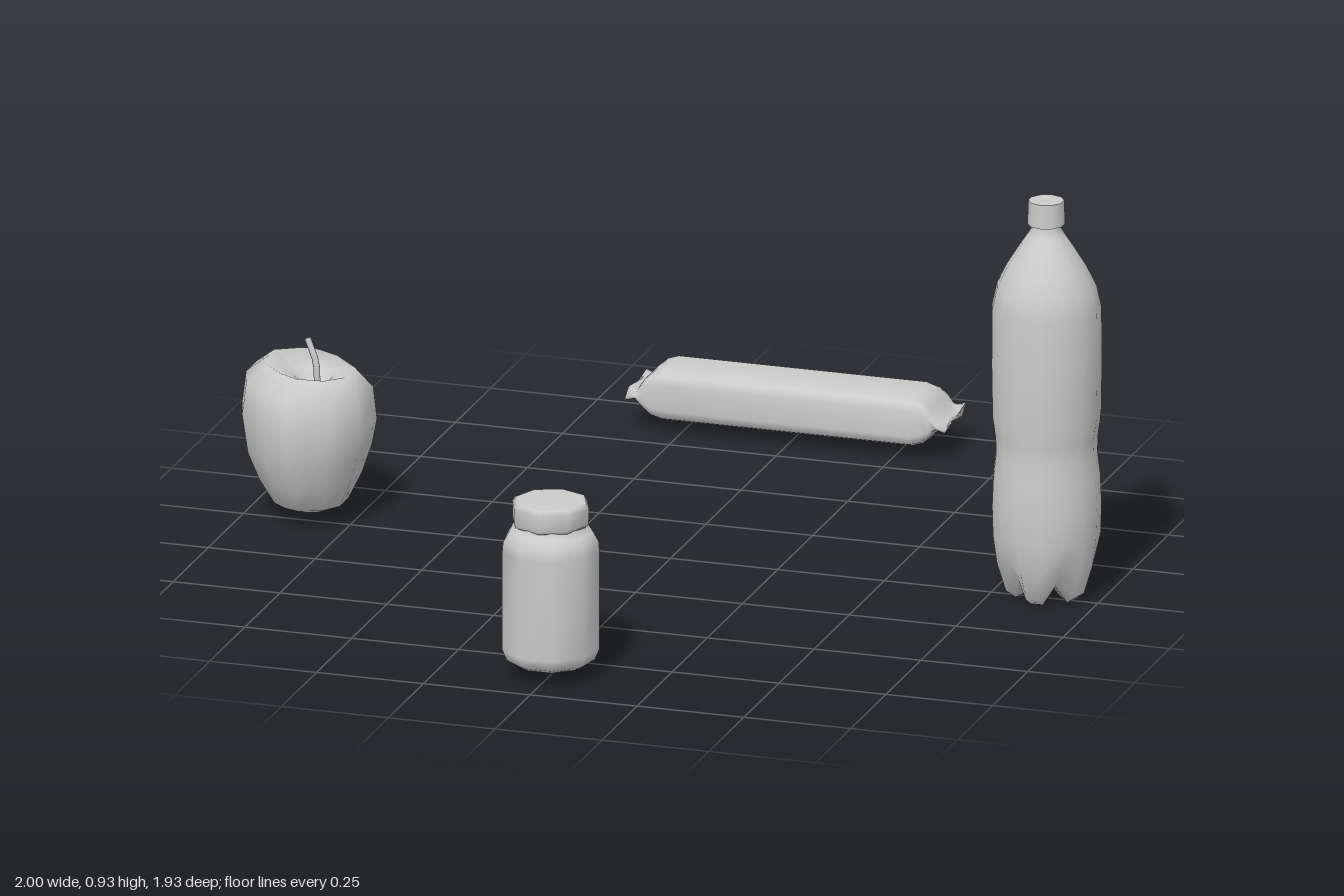
import * as THREE from 'three';

const material = new THREE.MeshStandardMaterial({ color: 0xcccccc, side: THREE.DoubleSide });

function addMesh(parent, name, geometry) {
  const mesh = new THREE.Mesh(geometry, material);
  mesh.name = name;
  parent.add(mesh);
  return mesh;
}

function addGroup(parent, name, x, z) {
  const group = new THREE.Group();
  group.name = name;
  group.position.set(x, 0, z);
  parent.add(group);
  return group;
}

// Smooth skin over rings of [x, y, z] points, each ring running from +z to +x
function loft(rings) {
  const n = rings[0].length, index = [];
  for (let i = 0; i < rings.length - 1; i++) {
    for (let j = 0; j < n; j++) {
      const a = i * n + j, b = i * n + (j + 1) % n;
      index.push(a, b, b + n, a, b + n, a + n);
    }
  }
  const geometry = new THREE.BufferGeometry();
  geometry.setAttribute('position', new THREE.Float32BufferAttribute(rings.flat(2), 3));
  geometry.setIndex(index);
  geometry.computeVertexNormals();
  return geometry;
}

// Round ring; the shift function may alter radius and height per point
function ring(n, r, y, shift = () => [0, 0]) {
  return Array.from({ length: n }, (_, j) => {
    const a = (j / n) * Math.PI * 2 + Math.PI;
    const [dr, dy] = shift(j);
    return [Math.sin(a) * (r + dr), y + dy, Math.cos(a) * (r + dr)];
  });
}

const lathe = (points, n) => loft(points.map(([r, y]) => ring(n, r, y)));

function buildBottle(root) {
  const bottle = addGroup(root, 'bottle', 0.873, -0.018);
  // Five feet separated by grooves: every third point is pulled in and up
  const groove = (dr, dy) => (j) => (j % 3 === 0 ? [dr, dy] : [0, 0]);
  const base = [
    ring(15, 0, 0.04),
    ring(15, 0.035, 0.018, groove(0, 0.025)),
    ring(15, 0.07, 0.003, groove(-0.005, 0.04)),
    ring(15, 0.092, 0.02, groove(-0.015, 0.035)),
    ring(15, 0.112, 0.085, groove(-0.006, 0.015)),
  ];
  const wall = [
    [0.121, 0.15], [0.123, 0.22], [0.12, 0.29], [0.114, 0.34], [0.115, 0.38], [0.122, 0.43],
    [0.124, 0.55], [0.123, 0.68], [0.112, 0.73], [0.09, 0.775], [0.062, 0.82], [0.042, 0.85],
    [0.033, 0.865], [0.033, 0.885],
  ].map(([r, y]) => ring(15, r, y));
  addMesh(bottle, 'bottleBody', loft([...base, ...wall]));
  const cap = addMesh(bottle, 'bottleCap', new THREE.CylinderGeometry(0.04, 0.042, 0.055, 10));
  cap.position.y = 0.902;
}

function buildJar(root) {
  const jar = addGroup(root, 'jar', 0, 0.855);
  addMesh(jar, 'jarBody', lathe([
    [0, 0.036], [0.08, 0.034], [0.1, 0.045], [0.11, 0.07], [0.11, 0.3],
    [0.108, 0.322], [0.095, 0.345], [0.08, 0.35], [0.078, 0.365],
  ], 9));
  addMesh(jar, 'jarLid', lathe([
    [0, 0.358], [0.08, 0.357], [0.089, 0.365], [0.09, 0.402], [0.084, 0.413], [0.078, 0.415], [0, 0.415],
  ], 8));
}

function buildApple(root) {
  const apple = addGroup(root, 'apple', -0.85, 0);
  // Uneven outline [x, z] around the widest part
  const outline = [
    [0, 0.157], [0.09, 0.12], [0.14, 0.045], [0.14, -0.07], [0.05, -0.145], [-0.045, -0.167],
    [-0.09, -0.13], [-0.15, -0.07], [-0.15, 0.01], [-0.125, 0.085], [-0.065, 0.135],
  ];
  // [scale, height] from the underside up and into the stem hollow
  const profile = [
    [0, 0.045], [0.3, 0.037], [0.55, 0.052], [0.76, 0.11], [0.92, 0.175], [1, 0.25],
    [0.94, 0.325], [0.65, 0.368], [0.3, 0.345], [0.08, 0.32], [0, 0.315],
  ];
  addMesh(apple, 'appleFlesh', loft(profile.map(([s, y]) => outline.map(([x, z]) => {
    const tilt = y > 0.2 ? -0.12 * x * s : 0;
    return [x * s + 0.015 * (1 - s), y + tilt, z * s];
  }))));
  const stemPath = new THREE.CatmullRomCurve3([
    new THREE.Vector3(0.025, 0.315, 0.005),
    new THREE.Vector3(0.022, 0.375, 0.003),
    new THREE.Vector3(-0.002, 0.428, -0.008),
  ]);
  addMesh(apple, 'appleStem', new THREE.TubeGeometry(stemPath, 5, 0.008, 5));
}

function buildWrappedBar(root) {
  const bar = addGroup(root, 'wrappedBar', 0, -0.888);
  // Rounded rectangle section [across, up], clockwise from the top
  const section = [
    [0, 1], [0.65, 1], [0.9, 0.85], [1, 0.5], [1, -0.5], [0.9, -0.85], [0.65, -1],
    [0, -1], [-0.65, -1], [-0.9, -0.85], [-1, -0.5], [-1, 0.5], [-0.9, 0.85], [-0.65, 1],
  ];
  // [x, half width, half height, crimp wave] from the middle to the crimped end
  const half = [
    [0.29, 0.081, 0.058, 0], [0.315, 0.08, 0.05, 0], [0.335, 0.077, 0.033, 0],
    [0.352, 0.072, 0.006, 0.006], [0.374, 0.076, 0.005, 0.013], [0.374, 0, 0, 0],
  ];
  const stations = [...half.map(([x, ...rest]) => [-x, ...rest]).reverse(), ...half];
  addMesh(bar, 'wrapper', loft(stations.map(([x, w, h, wave]) =>
    section.map(([u, v]) => [x, 0.093 - Math.abs(x) * 0.015 + v * h + wave * Math.sin(u * 4), u * w]))));
}

export function createModel() {
  const root = new THREE.Group();
  root.name = 'groceries';
  buildBottle(root);
  buildJar(root);
  buildApple(root);
  buildWrappedBar(root);
  return root;
}
